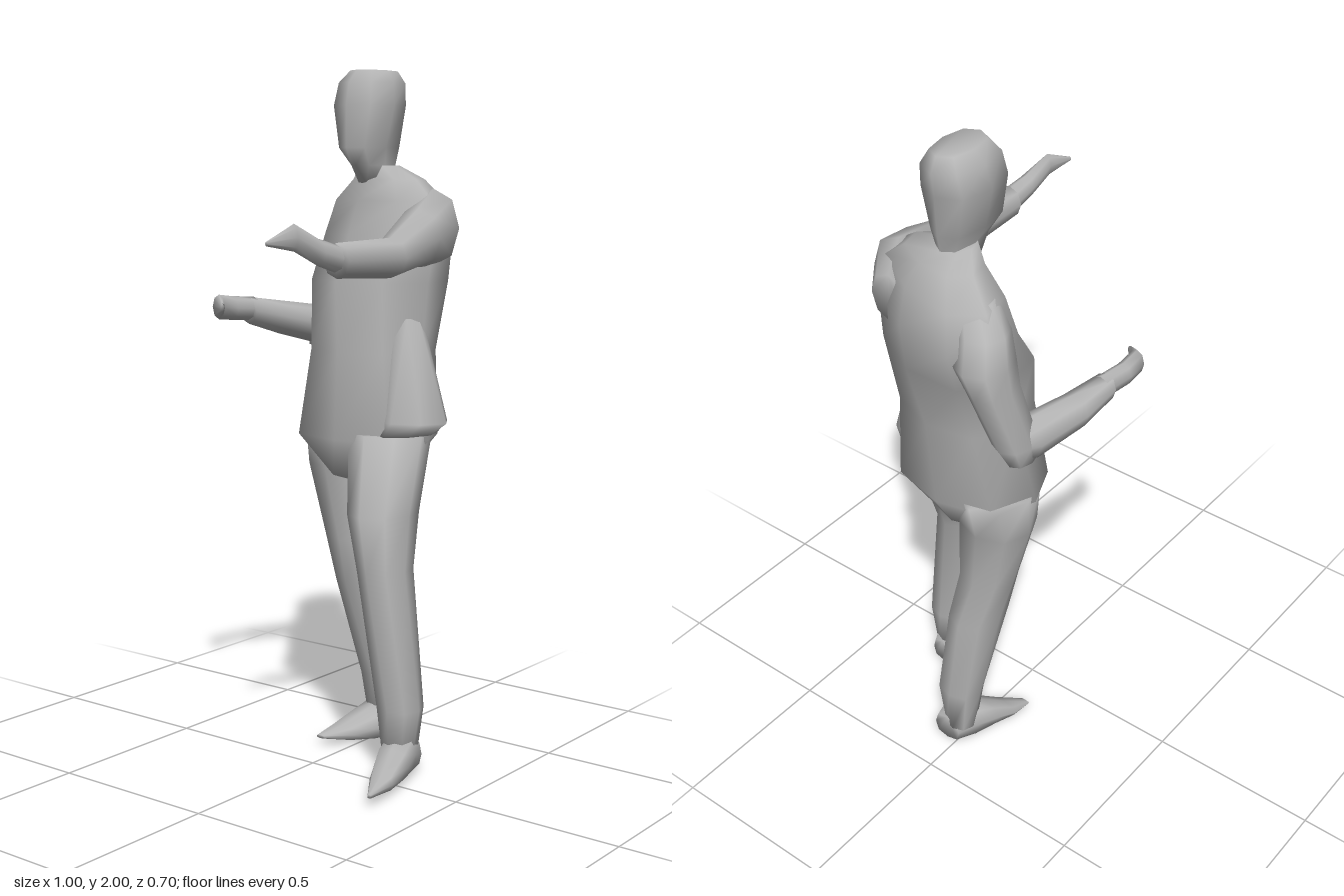
import * as THREE from 'three';

const SIDES = 8;
const grey = new THREE.MeshStandardMaterial({ color: 0xb4b4b4 });
grey.name = 'plain grey';

// Rounded-box outline used for every cross-section
const soft = (v, p) => Math.sign(v) * Math.abs(v) ** p;
function outline(power, place) {
  return Array.from({ length: SIDES }, (_, i) => {
    const t = (i / SIDES) * Math.PI * 2;
    return place(soft(Math.cos(t), power), soft(Math.sin(t), power));
  });
}

// Horizontal section, listed bottom to top: [y, x, z, radiusX, radiusZ, yaw]
const level = (power) => ([y, x, z, rx, rz, yaw = 0]) => outline(power, (c, s) => [
  x + c * rx * Math.cos(yaw) - s * rz * Math.sin(yaw),
  y,
  z + c * rx * Math.sin(yaw) + s * rz * Math.cos(yaw),
]);

// Upright section, listed from +x towards -x: [x, y, z, radiusY, radiusZ, lean]
const upright = (power) => ([x, y, z, ry, rz, lean = 0]) =>
  outline(power, (c, s) => [x + c * lean, y + c * ry, z + s * rz]);

// Smooth skin over a row of sections, closed at both ends
function loft(name, sections, toRing) {
  const rings = sections.map(toRing);
  const pos = rings.flat(2);
  const index = [];
  for (let r = 0; r < rings.length - 1; r++) {
    for (let i = 0; i < SIDES; i++) {
      const j = (i + 1) % SIDES;
      const a = r * SIDES + i, b = r * SIDES + j;
      index.push(a, a + SIDES, b, b, a + SIDES, b + SIDES);
    }
  }
  const last = (rings.length - 1) * SIDES;
  for (let i = 1; i < SIDES - 1; i++) {
    index.push(0, i, i + 1, last, last + i + 1, last + i);
  }
  const geo = new THREE.BufferGeometry();
  geo.setAttribute('position', new THREE.Float32BufferAttribute(pos, 3));
  geo.setIndex(index);
  geo.computeVertexNormals();
  const mesh = new THREE.Mesh(geo, grey);
  mesh.name = name;
  return mesh;
}

export function createModel() {
  const person = new THREE.Group();
  person.name = 'standingPerson';

  // Head with jaw and neck
  person.add(loft('head', [
    [1.68, 0.31, 0.0, 0.06, 0.05],
    [1.73, 0.285, 0.0, 0.085, 0.042],
    [1.78, 0.275, -0.008, 0.112, 0.06],
    [1.9, 0.287, -0.015, 0.115, 0.086],
    [1.965, 0.298, -0.015, 0.112, 0.076],
    [2.0, 0.3, -0.01, 0.085, 0.05],
  ], level(0.8)));

  // Jacket body, turned so the left shoulder leads
  person.add(loft('jacket', [
    [0.83, 0.23, 0.03, 0.1, 0.1],
    [0.95, 0.238, 0.02, 0.165, 0.215],
    [1.2, 0.248, 0.03, 0.155, 0.185, 0.1],
    [1.4, 0.29, 0.02, 0.165, 0.215, 0.25],
    [1.53, 0.33, 0.02, 0.135, 0.25, 0.38],
    [1.63, 0.325, 0.03, 0.11, 0.22, 0.38],
    [1.69, 0.32, 0.03, 0.075, 0.13, 0.3],
    [1.73, 0.315, 0.0, 0.055, 0.055],
  ], level(0.82)));

  // Flared jacket skirt on the left hip
  person.add(loft('jacketFlare', [
    [0.97, 0.21, 0.18, 0.12, 0.08],
    [1.01, 0.2, 0.2, 0.1, 0.12],
    [1.3, 0.22, 0.17, 0.06, 0.04],
  ], level(1.2)));

  // Left arm reaching forward
  person.add(loft('leftArm', [
    [0.4, 1.55, 0.15, 0.07, 0.06],
    [0.3, 1.555, 0.2, 0.11, 0.09],
    [0.15, 1.53, 0.25, 0.08, 0.08],
    [-0.04, 1.485, 0.295, 0.054, 0.055],
    [-0.27, 1.487, 0.29, 0.046, 0.042],
  ], upright(0.95)));
  person.add(loft('leftHand', [
    [-0.24, 1.485, 0.288, 0.038, 0.034],
    [-0.33, 1.51, 0.277, 0.035, 0.026],
    [-0.41, 1.55, 0.262, 0.035, 0.014],
    [-0.5, 1.537, 0.247, 0.006, 0.004],
  ], upright(1)));

  // Right arm bent at the elbow
  person.add(loft('rightUpperArm', [
    [1.19, 0.35, -0.235, 0.05, 0.035],
    [1.25, 0.365, -0.225, 0.065, 0.055],
    [1.42, 0.405, -0.19, 0.075, 0.06],
    [1.5, 0.415, -0.17, 0.085, 0.075],
    [1.58, 0.4, -0.155, 0.07, 0.07],
    [1.64, 0.37, -0.11, 0.05, 0.05],
  ], level(0.95)));
  person.add(loft('rightForearm', [
    [0.4, 1.25, -0.225, 0.035, 0.035],
    [0.34, 1.25, -0.24, 0.06, 0.055],
    [0.2, 1.28, -0.29, 0.05, 0.046],
    [0.09, 1.305, -0.312, 0.04, 0.032],
  ], upright(0.95)));
  person.add(loft('rightHand', [
    [0.11, 1.31, -0.31, 0.035, 0.026],
    [0.03, 1.315, -0.325, 0.035, 0.025],
    [-0.03, 1.322, -0.325, 0.036, 0.024],
    [-0.06, 1.325, -0.285, 0.012, 0.01],
  ], upright(1)));

  // Left leg steps forward, right leg trails
  person.add(loft('leftLeg', [
    [0.06, 0.085, 0.25, 0.055, 0.045],
    [0.2, 0.083, 0.252, 0.065, 0.066],
    [0.6, 0.06, 0.213, 0.092, 0.068],
    [0.75, 0.115, 0.165, 0.115, 0.09],
    [0.97, 0.205, 0.125, 0.13, 0.11],
  ], level(0.9)));
  person.add(loft('rightLeg', [
    [0.06, 0.345, 0.005, 0.045, 0.045],
    [0.2, 0.335, 0.01, 0.058, 0.07],
    [0.5, 0.292, -0.03, 0.096, 0.075],
    [0.63, 0.26, -0.045, 0.078, 0.085],
    [0.85, 0.265, -0.085, 0.1, 0.108],
    [0.97, 0.27, -0.09, 0.125, 0.105],
  ], level(0.9)));

  // Pointed shoes, toes turned out
  person.add(loft('leftShoe', [
    [0.145, 0.05, 0.25, 0.04, 0.035],
    [0.09, 0.068, 0.255, 0.06, 0.05],
    [0.01, 0.055, 0.275, 0.045, 0.055],
    [-0.08, 0.036, 0.305, 0.022, 0.04],
    [-0.185, 0.033, 0.34, 0.005, 0.006],
  ], upright(0.7)));
  person.add(loft('rightShoe', [
    [0.385, 0.045, 0.03, 0.042, 0.045],
    [0.33, 0.06, 0.015, 0.06, 0.065],
    [0.26, 0.045, -0.01, 0.042, 0.06],
    [0.2, 0.03, -0.045, 0.022, 0.045],
    [0.14, 0.025, -0.08, 0.005, 0.015],
  ], upright(0.7)));

  return person;
}
